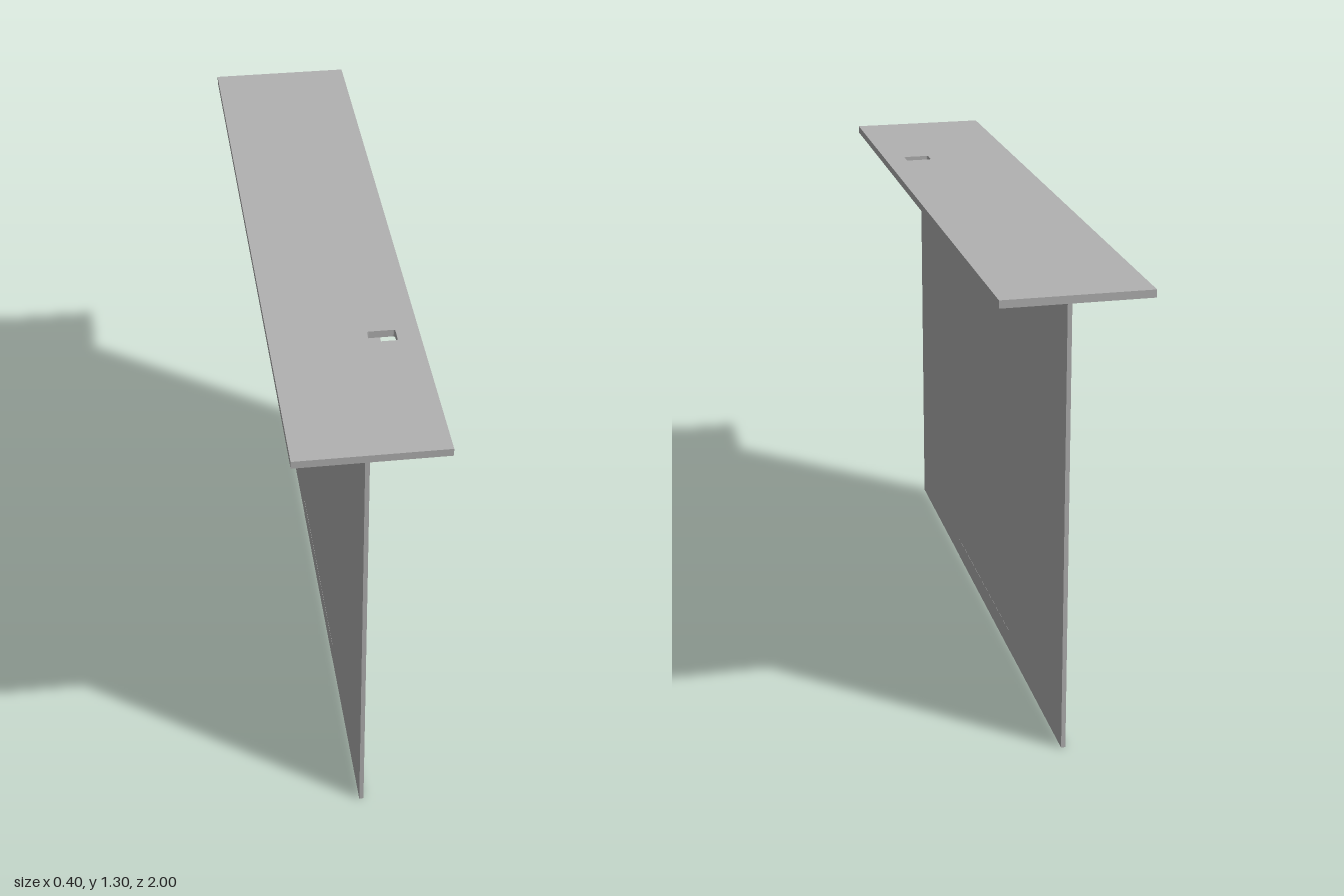
import * as THREE from 'three';

export function createModel() {
  const group = new THREE.Group();
  const grey = new THREE.MeshStandardMaterial({ color: 0xb2b2b2 });
  grey.name = 'plain grey';

  const add = (name, geometry) => {
    const mesh = new THREE.Mesh(geometry, grey);
    mesh.name = name;
    group.add(mesh);
  };
  // Box given by its minimum and maximum corners
  const box = (name, [x0, y0, z0], [x1, y1, z1]) => add(name,
    new THREE.BoxGeometry(x1 - x0, y1 - y0, z1 - z0)
      .translate((x0 + x1) / 2, (y0 + y1) / 2, (z0 + z1) / 2));

  // Top slab with a small rounded cable slot, drawn in plan (shape y = -z)
  const top = new THREE.Shape();
  top.moveTo(-0.2, -1).lineTo(0.2, -1).lineTo(0.2, 1).lineTo(-0.2, 1).closePath();
  const [x0, x1, y0, y1, r] = [0.062, 0.138, -0.527, -0.479, 0.006];
  const slot = new THREE.Path();
  slot.moveTo(x0 + r, y0).lineTo(x1 - r, y0).quadraticCurveTo(x1, y0, x1, y0 + r)
    .lineTo(x1, y1 - r).quadraticCurveTo(x1, y1, x1 - r, y1)
    .lineTo(x0 + r, y1).quadraticCurveTo(x0, y1, x0, y1 - r)
    .lineTo(x0, y0 + r).quadraticCurveTo(x0, y0, x0 + r, y0);
  top.holes.push(slot);
  add('topSlab', new THREE.ExtrudeGeometry(top, { depth: 0.021, bevelEnabled: false, curveSegments: 4 })
    .rotateX(-Math.PI / 2).translate(0, 1.279, 0));

  // Hanging panel and the mounting flange under the slab
  box('panel', [-0.006, 0, -0.923], [0.006, 1.279, 0.923]);
  box('mountingFlange', [0.006, 1.266, -0.923], [0.098, 1.279, 0.923]);

  // Nearly flush strip along the panel's lower edge
  box('bottomStrip', [-0.0065, 0, -0.345], [0.0065, 0.06, 0.345]);

  return group;
}
